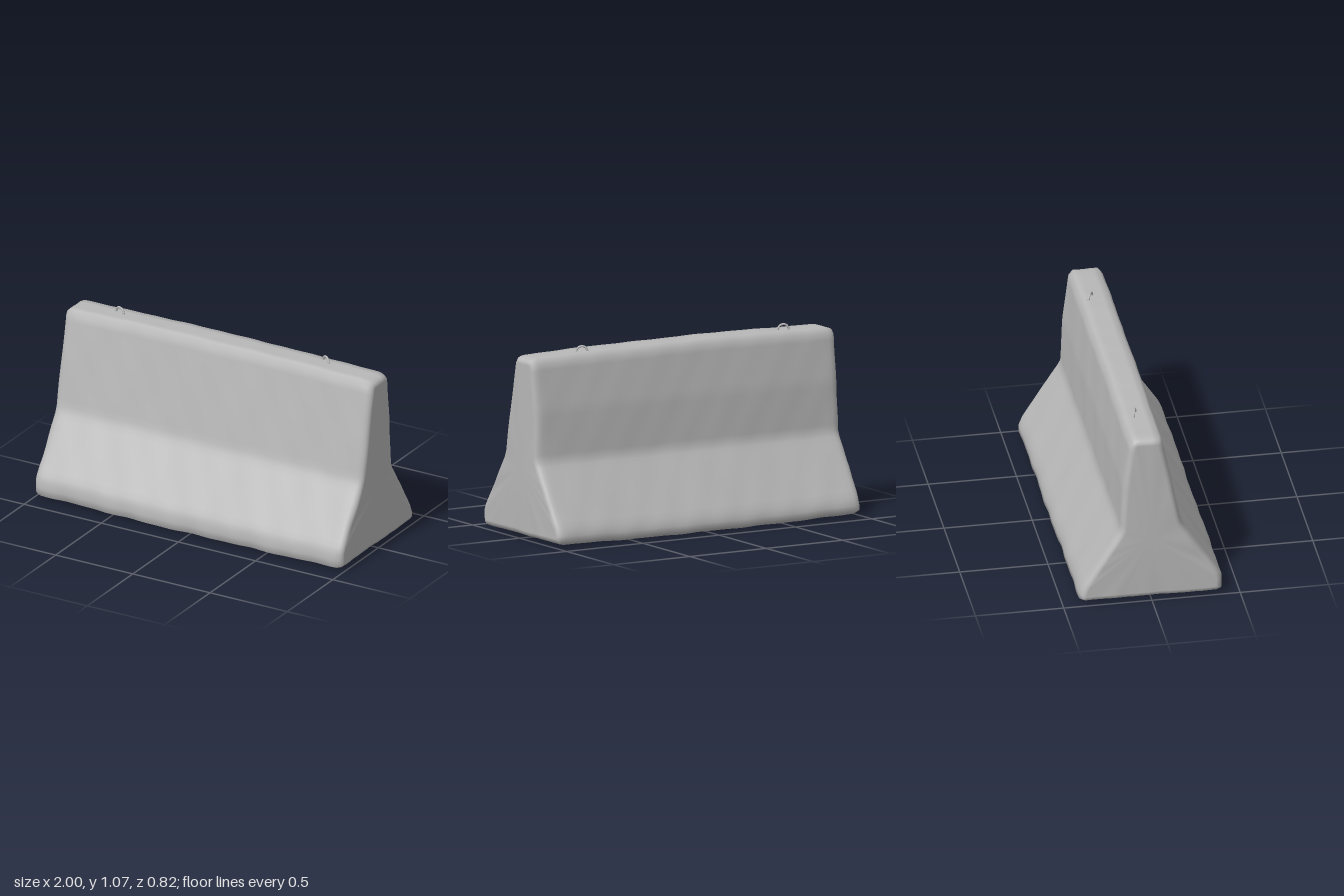
import * as THREE from 'three';

// Cross-section corners as [z, y], running counter-clockwise from the back of the base
const PROFILE = [
  [-0.375, 0.02], [0.375, 0.02], [0.403, 0.035], [0.403, 0.115], [0.387, 0.15],
  [0.187, 0.45], [0.17, 0.49], [0.068, 1.0], [0.047, 1.03], [-0.1, 1.03],
  [-0.125, 1.0], [-0.16, 0.74], [-0.175, 0.46], [-0.19, 0.43], [-0.385, 0.12],
  [-0.403, 0.07], [-0.403, 0.035],
];

// Moves every edge of the profile inward by d
function insetProfile(d) {
  const n = PROFILE.length;
  const inward = (a, b) => new THREE.Vector2(a[1] - b[1], b[0] - a[0]).normalize();
  return PROFILE.map((p, i) => {
    const n1 = inward(PROFILE[(i + n - 1) % n], p);
    const n2 = inward(p, PROFILE[(i + 1) % n]);
    const k = d / (1 + n1.dot(n2));
    return [p[0] + (n1.x + n2.x) * k, p[1] + (n1.y + n2.y) * k];
  });
}

// Splits the edges so that the surface can be weathered
function subdivide(corners) {
  const points = [];
  corners.forEach((a, i) => {
    const j = (i + 1) % corners.length, b = corners[j];
    const length = Math.hypot(PROFILE[j][0] - PROFILE[i][0], PROFILE[j][1] - PROFILE[i][1]);
    const steps = Math.ceil(length / 0.04);
    for (let s = 0; s < steps; s++) {
      const t = s / steps;
      points.push([a[0] + (b[0] - a[0]) * t, a[1] + (b[1] - a[1]) * t]);
    }
  });
  return points;
}

// Smooth, repeatable unevenness between about -1 and 1
function bumps(x, y, z) {
  return 0.4 * Math.sin(7 * x + 5 * y + 3 * z + 1)
    + 0.35 * Math.sin(17 * x - 9 * y + 11 * z)
    + 0.25 * Math.sin(31 * x + 19 * y - 23 * z + 2);
}

function weather(x, y, z) {
  const sag = (y - 0.5) * 0.026 * (1 - x * x);
  const edgeWear = 1 + 1.2 * Math.max(0, 1 - y / 0.2);
  return [
    x - Math.sign(x) * Math.max(0, Math.abs(x) - 0.9) * 0.04 * (1 + bumps(z * 2, y, 4)),
    y + sag + 0.003 * bumps(x, z, 5),
    z + 0.003 * edgeWear * bumps(x, y, Math.sign(z)),
  ];
}

// Lofts the profile along x, with rounded ends and closed caps
function barrierGeometry() {
  const end = [[1, 0.035], [0.997, 0.022], [0.988, 0.011], [0.972, 0.004], [0.95, 0]];
  const sections = end.map(([x, d]) => [-x, d]);
  for (let i = 1; i < 48; i++) sections.push([-0.95 + (1.9 * i) / 48, 0]);
  sections.push(...end.slice().reverse());

  const positions = [], index = [];
  let count = 0;
  for (const [x, d] of sections) {
    const ring = subdivide(insetProfile(d));
    count = ring.length;
    for (const [z, y] of ring) positions.push(...weather(x, y, z));
  }
  for (let i = 0; i < sections.length - 1; i++) {
    for (let j = 0; j < count; j++) {
      const k = (j + 1) % count;
      const a = i * count + j, b = a + count, c = i * count + k, d = c + count;
      index.push(a, b, c, b, d, c);
    }
  }
  const first = sections.length * count, last = (sections.length - 1) * count;
  positions.push(-1, 0.4, 0, 1, 0.4, 0);
  for (let j = 0; j < count; j++) {
    const k = (j + 1) % count;
    index.push(first, j, k, first + 1, last + k, last + j);
  }
  const geometry = new THREE.BufferGeometry();
  geometry.setAttribute('position', new THREE.Float32BufferAttribute(positions, 3));
  geometry.setIndex(index);
  geometry.computeVertexNormals();
  return geometry;
}

// Bent steel bar with both feet sunk into the concrete
function loopGeometry() {
  const points = [[-0.032, -0.03], [-0.031, 0.01], [-0.02, 0.03], [0, 0.037],
    [0.02, 0.03], [0.031, 0.01], [0.032, -0.03]].map(([x, y]) => new THREE.Vector3(x, y, 0));
  return new THREE.TubeGeometry(new THREE.CatmullRomCurve3(points), 24, 0.006, 8);
}

export function createModel() {
  const concrete = new THREE.MeshStandardMaterial({ color: 0xb8b8b8 });
  concrete.name = 'concrete grey';

  const model = new THREE.Group();
  model.name = 'concreteBarrier';

  const body = new THREE.Mesh(barrierGeometry(), concrete);
  body.name = 'barrierBody';
  model.add(body);

  // Lifting loops on the top
  const loop = loopGeometry();
  [['rightLiftingLoop', -0.7, -0.045, -0.3], ['leftLiftingLoop', 0.627, -0.058, -0.5]]
    .forEach(([name, x, z, turn]) => {
      const mesh = new THREE.Mesh(loop, concrete);
      mesh.name = name;
      mesh.position.set(x, 1.03, z);
      mesh.rotation.y = turn;
      model.add(mesh);
    });

  return model;
}
